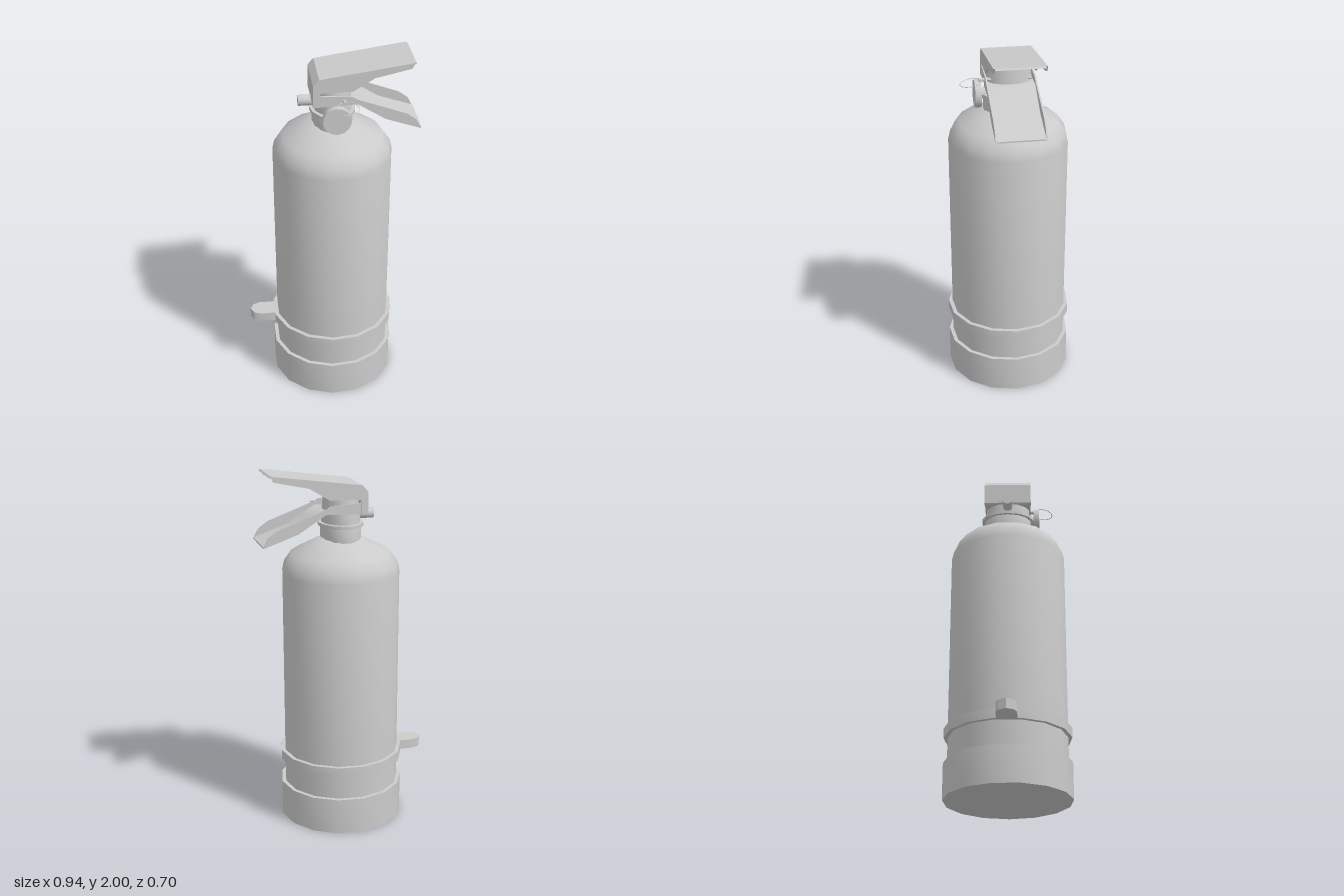
import * as THREE from 'three';
import { toCreasedNormals } from 'three/addons/utils/BufferGeometryUtils.js';

const material = new THREE.MeshStandardMaterial({ color: 0xcccccc });
const CX = 0.01; // axis of the cylinder

function add(parent, name, geometry, x = 0, y = 0, z = 0) {
  const mesh = new THREE.Mesh(toCreasedNormals(geometry, 0.6), material);
  mesh.name = name;
  mesh.position.set(x, y, z);
  parent.add(mesh);
  return mesh;
}

// turned part around the y axis, profile listed from bottom to top
function lathe(profile, sides) {
  return new THREE.LatheGeometry(profile.map(p => new THREE.Vector2(...p)), sides, Math.PI / 2);
}

// flat outline in xy, thickened along z between z0 and z1
function slab(outline, z0, z1) {
  const shape = new THREE.Shape(outline.map(p => new THREE.Vector2(...p)));
  return new THREE.ExtrudeGeometry(shape, { depth: z1 - z0, bevelEnabled: false }).translate(0, 0, z0);
}

// bent sheet: an open line thickened by a constant shift
function sheet(line, dx, dy, halfWidth) {
  const inner = line.map(([x, y]) => [x + dx, y + dy]).reverse();
  return slab([...line, ...inner], -halfWidth, halfWidth);
}

// folded lever: a bent sheet with a flange on each side
function lever(name, outline, line, dx, dy, halfWidth) {
  const group = new THREE.Group();
  group.name = name;
  const t = 0.008;
  add(group, name + 'Plate', sheet(line, dx, dy, halfWidth - t));
  for (const [side, z] of [['Left', halfWidth - t], ['Right', -halfWidth]]) {
    add(group, name + side + 'Flange', slab(outline, z, z + t));
  }
  return group;
}

export function createModel() {
  const model = new THREE.Group();
  model.name = 'fireExtinguisher';

  // tank with domed shoulder, and the boot it stands in
  add(model, 'tank', lathe([[0, 0.1], [0.328, 0.1], [0.328, 1.44], [0.317, 1.49],
    [0.275, 1.55], [0.11, 1.635], [0, 1.64]], 15), CX);
  add(model, 'baseBoot', lathe([[0, 0], [0.35, 0], [0.35, 0.205], [0.32, 0.205]], 15), CX);

  // clamp band and its tab
  add(model, 'band', lathe([[0.32, 0.345], [0.35, 0.345], [0.35, 0.4], [0.32, 0.4]], 15), CX);
  const tab = slab([[-0.32, -0.055], [-0.32, 0.055], [-0.42, 0.055], [-0.455, 0.04],
    [-0.475, 0], [-0.455, -0.04], [-0.42, -0.055]].reverse(), 0, 0.055);
  add(model, 'bandTab', tab.rotateX(-Math.PI / 2), 0, 0.345);

  // oval valve: neck, flange and tapered head
  const valve = new THREE.Group();
  valve.name = 'valve';
  valve.position.x = CX;
  valve.scale.z = 1.25;
  add(valve, 'neck', lathe([[0, 1.62], [0.11, 1.62], [0.11, 1.7], [0.1, 1.74], [0, 1.74]], 14));
  add(valve, 'flange', lathe([[0.09, 1.7], [0.124, 1.7], [0.124, 1.718], [0.09, 1.718]], 14));
  add(valve, 'head', lathe([[0, 1.72], [0.105, 1.72], [0.102, 1.78], [0.088, 1.925], [0, 1.925]], 14));
  model.add(valve);

  // upper lever, open below
  const top = [[-0.106, 1.775], [-0.106, 1.897], [-0.074, 1.932], [0.424, 2]];
  model.add(lever('upperLever', [...top, [0.407, 1.968], [0.217, 1.927], [0.104, 1.858],
    [-0.065, 1.855], [-0.07, 1.84], [-0.07, 1.775]], top, 0.008, -0.008, 0.136));

  // lower lever, open above
  const under = [[-0.1, 1.775], [0.127, 1.782], [0.21, 1.73], [0.275, 1.688], [0.376, 1.652], [0.47, 1.62]];
  model.add(lever('lowerLever', [...under, [0.443, 1.672], [0.39, 1.712], [0.13, 1.808],
    [0.1, 1.825], [-0.07, 1.838], [-0.1, 1.82]], under, 0, 0.008, 0.134));

  // discharge nozzle
  add(model, 'nozzle', new THREE.CylinderGeometry(0.029, 0.029, 0.11, 12).rotateZ(Math.PI / 2), -0.119, 1.756, 0);

  // pressure gauge on a short stem
  add(model, 'gauge', new THREE.CylinderGeometry(0.075, 0.075, 0.034, 20).rotateX(Math.PI / 2), 0.015, 1.712, 0.168);
  add(model, 'gaugeStem', new THREE.CylinderGeometry(0.03, 0.03, 0.08, 10).rotateX(Math.PI / 2), 0.015, 1.712, 0.12);

  // safety pin with pull ring
  add(model, 'safetyPin', new THREE.CylinderGeometry(0.01, 0.01, 0.28, 8).rotateX(Math.PI / 2), 0.058, 1.804, 0.024);
  const ring = add(model, 'pullRing', new THREE.TorusGeometry(0.058, 0.002, 5, 24), 0.068, 1.795, 0.207);
  ring.rotation.x = Math.PI / 2 + 0.17;

  return model;
}
